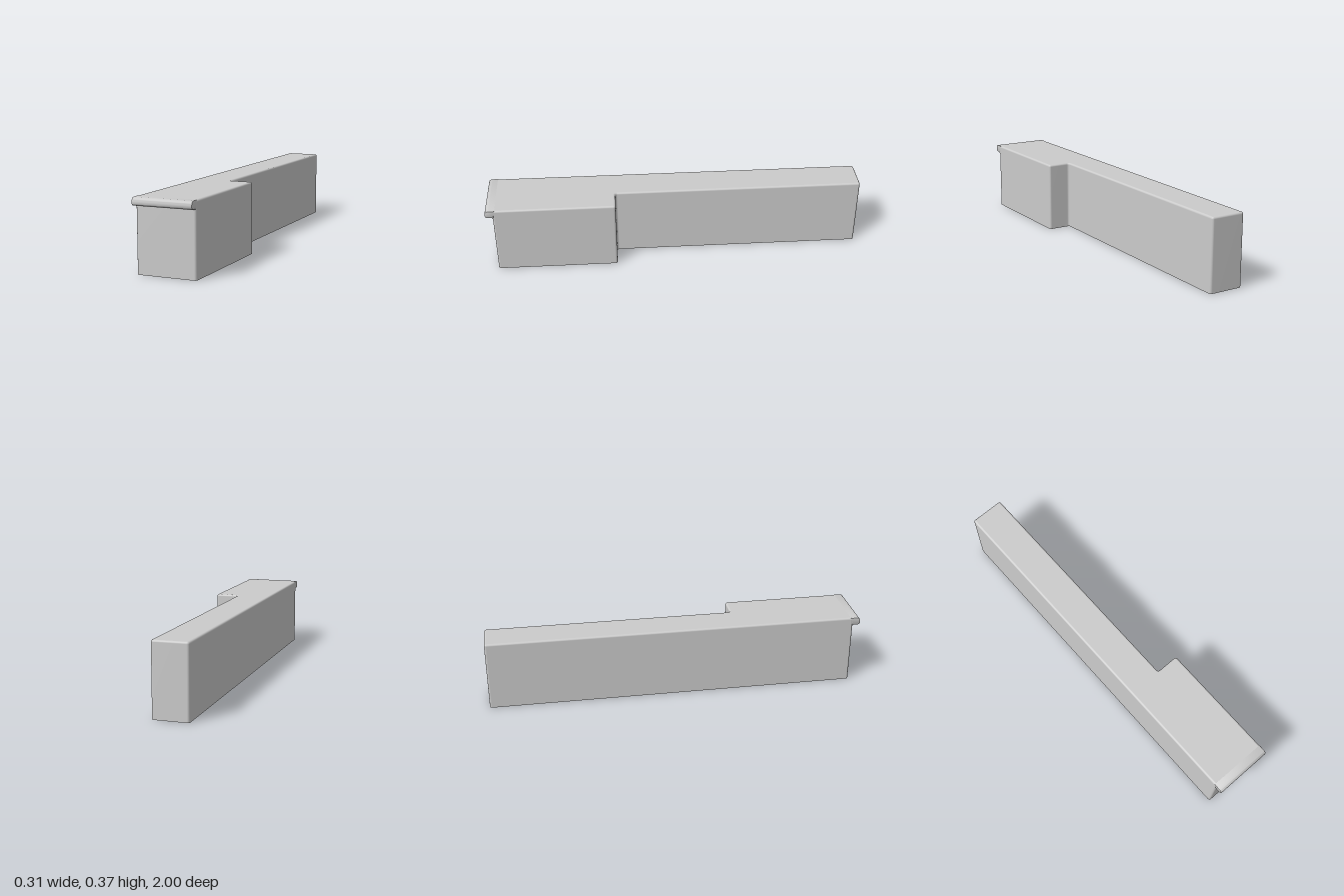
import * as THREE from 'three';
import { mergeVertices, toCreasedNormals } from 'three/addons/utils/BufferGeometryUtils.js';

const HEIGHT = 0.372;
const HALF_WIDTH = 0.155;
const CORNER = 0.012; // plan corner radius
const FILLET = 0.01; // rounding along the top edge

// L-shaped footprint as (x, -z), counter-clockwise from above
const FOOTPRINT = [
  [-HALF_WIDTH, -0.96], [HALF_WIDTH, -0.96], [HALF_WIDTH, -0.32],
  [0.03, -0.32], [0.03, 1], [-HALF_WIDTH, 1],
].map(([x, v]) => new THREE.Vector2(x, v));

// Footprint with rounded corners, shrunk by inset
function outline(inset, steps = 4) {
  const n = FOOTPRINT.length;
  const points = [];
  FOOTPRINT.forEach((p, i) => {
    const into = p.clone().sub(FOOTPRINT[(i + n - 1) % n]).normalize();
    const out = FOOTPRINT[(i + 1) % n].clone().sub(p).normalize();
    const radius = CORNER - inset * Math.sign(into.cross(out));
    const centre = p.clone().addScaledVector(into, -CORNER).addScaledVector(out, CORNER);
    for (let k = 0; k <= steps; k++) {
      const t = (k / steps) * Math.PI / 2;
      points.push(centre.clone()
        .addScaledVector(out, -Math.cos(t) * radius)
        .addScaledVector(into, Math.sin(t) * radius));
    }
  });
  return points;
}

// Hollow cover, open underneath: walls, rounded top edge and flat top
function shellGeometry() {
  const rings = [{ inset: 0, y: 0 }];
  for (let k = 0; k <= 4; k++) {
    const t = (k / 4) * Math.PI / 2;
    rings.push({ inset: FILLET * (1 - Math.cos(t)), y: HEIGHT - FILLET * (1 - Math.sin(t)) });
  }
  const positions = [];
  const index = [];
  let loop;
  rings.forEach(({ inset, y }, r) => {
    loop = outline(inset);
    const n = loop.length;
    loop.forEach((p, i) => {
      positions.push(p.x, y, -p.y);
      if (r === 0) return;
      const a = (r - 1) * n + i;
      const b = (r - 1) * n + ((i + 1) % n);
      index.push(a, b, b + n, a, b + n, a + n);
    });
  });
  const base = (rings.length - 1) * loop.length;
  for (const face of THREE.ShapeUtils.triangulateShape(loop, [])) {
    index.push(...face.map((i) => base + i));
  }
  const geometry = new THREE.BufferGeometry();
  geometry.setAttribute('position', new THREE.Float32BufferAttribute(positions, 3));
  geometry.setIndex(index);
  geometry.computeVertexNormals();
  return geometry;
}

// Rolled lip: a rounded profile in (z, y) run across the width
function lipGeometry() {
  const profile = new THREE.Shape();
  profile.moveTo(0.948, HEIGHT);
  profile.lineTo(0.957, 0.325);
  profile.lineTo(0.96, 0.325);
  profile.quadraticCurveTo(0.961, 0.331, 0.968, 0.331);
  profile.lineTo(0.986, 0.331);
  profile.quadraticCurveTo(1, 0.332, 1, 0.348);
  profile.quadraticCurveTo(1, HEIGHT, 0.978, HEIGHT);
  profile.closePath();
  const bevel = 0.004;
  const geometry = new THREE.ExtrudeGeometry(profile, {
    depth: 2 * (HALF_WIDTH - bevel), curveSegments: 8,
    bevelEnabled: true, bevelThickness: bevel, bevelSize: bevel, bevelOffset: -bevel, bevelSegments: 2,
  });
  geometry.rotateY(-Math.PI / 2);
  geometry.translate(HALF_WIDTH - bevel, 0, 0);
  geometry.deleteAttribute('uv');
  geometry.deleteAttribute('normal');
  return toCreasedNormals(mergeVertices(geometry, 1e-5), 0.7);
}

export function createModel() {
  const group = new THREE.Group();
  group.name = 'steppedCover';
  const material = new THREE.MeshStandardMaterial({ color: 0xcccccc, side: THREE.DoubleSide });

  const shell = new THREE.Mesh(shellGeometry(), material);
  shell.name = 'coverShell';
  const lip = new THREE.Mesh(lipGeometry(), material);
  lip.name = 'frontLip';

  group.add(shell, lip);
  return group;
}
